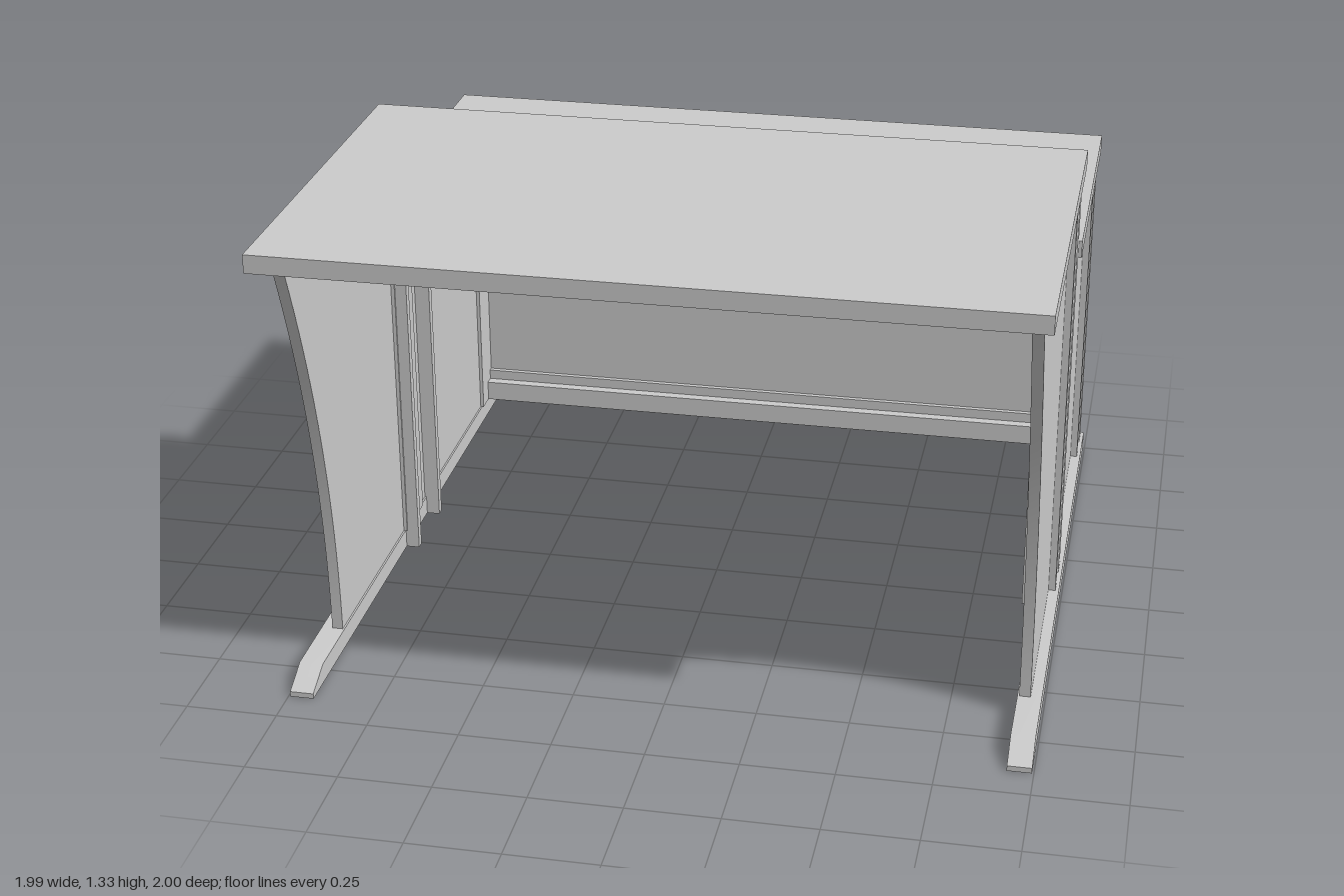
import * as THREE from 'three';
import { toCreasedNormals } from 'three/addons/utils/BufferGeometryUtils.js';

export function createModel() {
  const model = new THREE.Group();
  const material = new THREE.MeshStandardMaterial({ color: 0xcccccc, side: THREE.DoubleSide });

  function add(name, geometry) {
    const mesh = new THREE.Mesh(geometry, material);
    mesh.name = name;
    model.add(mesh);
    return mesh;
  }
  // Box given by its limits on each axis
  function box(name, x0, x1, y0, y1, z0, z1) {
    const mesh = add(name, new THREE.BoxGeometry(Math.abs(x1 - x0), y1 - y0, z1 - z0));
    mesh.position.set((x0 + x1) / 2, (y0 + y1) / 2, (z0 + z1) / 2);
    return mesh;
  }
  // Side profile drawn in (z, y), extruded between two x positions
  function slab(name, shape, xa, xb) {
    const g = new THREE.ExtrudeGeometry(shape, { depth: Math.abs(xb - xa), bevelEnabled: false, curveSegments: 20 });
    g.rotateY(-Math.PI / 2);
    add(name, toCreasedNormals(g, 0.5)).position.x = Math.max(xa, xb);
  }
  const polygon = (points) => new THREE.Shape(points.map(([a, b]) => new THREE.Vector2(a, b)));

  // Two worktops at different heights
  box('upperWorktop', -0.995, 0.995, 1.275, 1.325, -0.13, 1);
  box('lowerWorktop', -0.995, 0.995, 1.01, 1.06, -0.985, -0.13);

  const foot = polygon([[-1, 0], [0.9, 0], [0.9, 0.015], [0.81, 0.055], [-1, 0.055]]);
  const gusset = polygon([[0.03, 1.275], [0.03, 1.13], [0.06, 1.13], [0.4, 1.25], [0.4, 1.275]]);
  const frontPanel = new THREE.Shape();
  frontPanel.moveTo(0.03, 0.055);
  frontPanel.lineTo(0.62, 0.055);
  frontPanel.quadraticCurveTo(0.62, 0.65, 0.9, 1.275);
  frontPanel.lineTo(0.03, 1.275);
  frontPanel.closePath();

  // Upright with a shallow flute down its outer face
  function column(name, s, z0, z1, top) {
    const shape = new THREE.Shape();
    const w = z1 - z0;
    shape.moveTo(s * 0.925, -z0);
    shape.lineTo(s * 0.985, -z0);
    shape.lineTo(s * 0.985, -(z0 + w * 0.35));
    shape.quadraticCurveTo(s * 0.945, -(z0 + w * 0.55), s * 0.985, -(z0 + w * 0.75));
    shape.lineTo(s * 0.985, -z1);
    shape.lineTo(s * 0.925, -z1);
    shape.closePath();
    const g = new THREE.ExtrudeGeometry(shape, { depth: top - 0.055, bevelEnabled: false, curveSegments: 8 });
    g.rotateX(-Math.PI / 2);
    add(name, toCreasedNormals(g, 0.5)).position.y = 0.055;
  }

  // Mirrored side frames
  for (const s of [1, -1]) {
    const side = s > 0 ? 'left' : 'right';
    slab(side + 'Foot', foot, s * 0.93, s * 0.995);
    slab(side + 'FrontPanel', frontPanel, s * 0.935, s * 0.965);
    box(side + 'RearPanel', s * 0.935, s * 0.965, 0.055, 1.01, -0.83, -0.13);
    column(side + 'MiddleColumn', s, -0.13, 0.035, 1.275);
    column(side + 'RearColumn', s, -0.985, -0.825, 1.01);
    box(side + 'FrontInnerStrip', s * 0.892, s * 0.935, 0, 1.275, 0.005, 0.03);
    box(side + 'RearInnerStrip', s * 0.892, s * 0.935, 0, 1.01, -0.21, -0.185);
    slab(side + 'Gusset', gusset, s * 0.9, s * 0.912);
  }

  // Panel closing the step between the worktops
  box('stepPanel', -0.925, 0.925, 1.06, 1.275, -0.12, -0.105);

  // Rear cabinet wall
  box('rearWall', -0.925, 0.925, 0.115, 0.87, -0.945, -0.93);
  box('bottomRail', -0.93, 0.93, 0.055, 0.115, -0.98, -0.885);
  box('bottomLedge', -0.93, 0.93, 0.115, 0.145, -0.975, -0.915);
  box('upperRearPanel', -0.925, 0.925, 0.8, 0.985, -0.97, -0.955);
  box('topRail', -0.925, 0.925, 0.985, 1.01, -0.98, -0.93);

  // Four rear doors
  const pitch = 1.84 / 4;
  for (let i = 0; i < 4; i++) {
    const x = -0.92 + i * pitch;
    box('rearDoor', x + 0.005, x + pitch - 0.005, 0.145, 0.77, -0.968, -0.945);
  }

  // Cable tray with dividers and a curved cover above it
  box('trayFloor', -0.93, 0.93, 0.77, 0.8, -0.955, -0.88);
  for (let i = -5; i <= 5; i++) {
    const x = i * 0.157;
    box('trayDivider', x - 0.004, x + 0.004, 0.8, 0.865, -0.955, -0.88);
  }
  const cover = new THREE.Shape();
  cover.moveTo(-0.955, 0.865);
  cover.lineTo(-0.88, 0.865);
  cover.quadraticCurveTo(-0.88, 0.97, -0.945, 1.01);
  cover.lineTo(-0.955, 1.01);
  cover.closePath();
  slab('trayCover', cover, -0.93, 0.93);

  return model;
}
